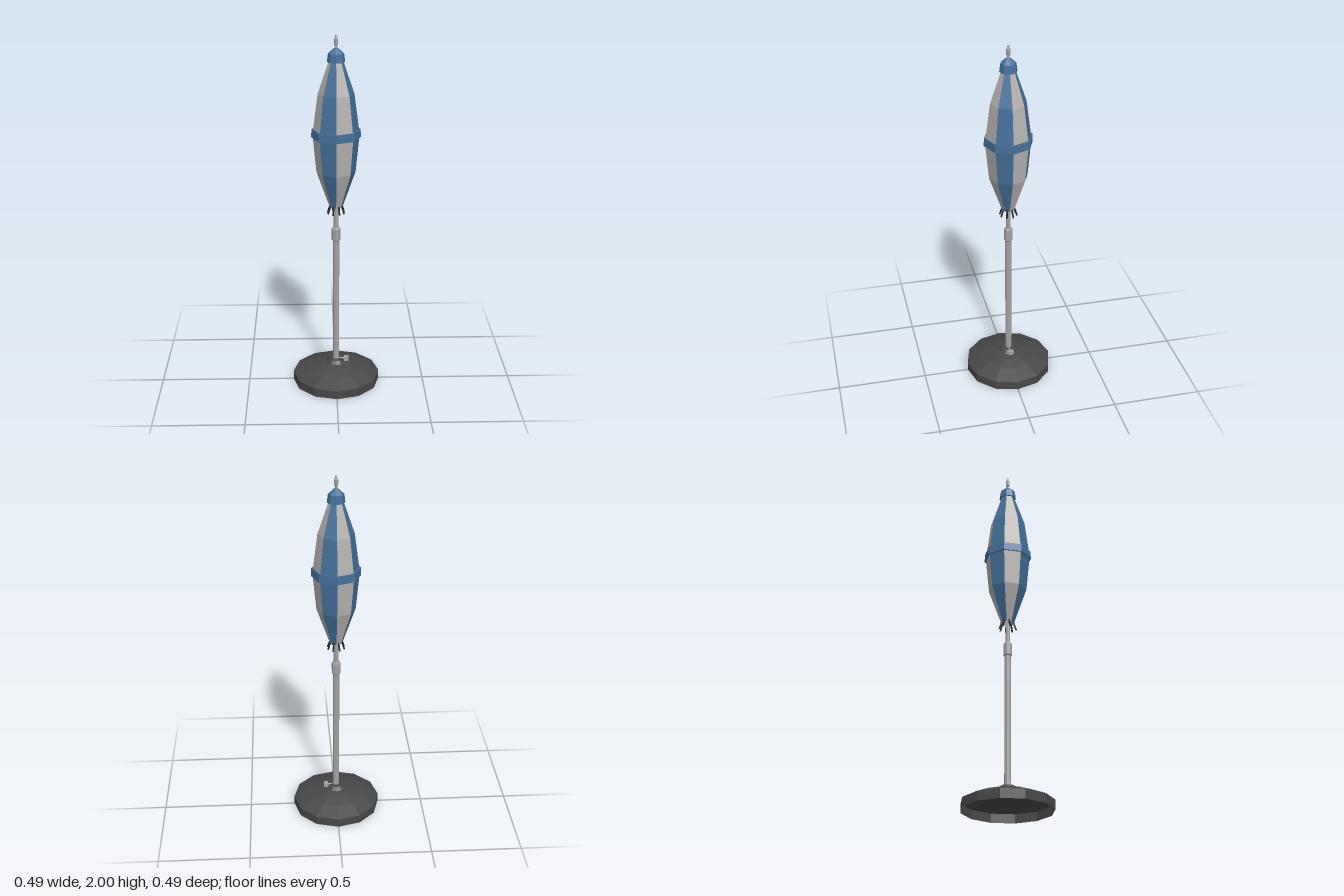
import * as THREE from 'three';

const mat = (name, color) => {
  const m = new THREE.MeshStandardMaterial({ color, flatShading: true, side: THREE.DoubleSide });
  m.name = name;
  return m;
};

export function createModel() {
  const blue = mat('blue fabric', 0x44709a);
  const pale = mat('pale fabric', 0xb5b2ae);
  const steel = mat('steel', 0xa3a3a3);
  const dark = mat('dark base', 0x484848);
  const black = mat('black tips', 0x262626);

  const model = new THREE.Group();
  model.name = 'foldedParasol';

  const add = (name, geometry, material, parent = model) => {
    const mesh = new THREE.Mesh(geometry, material);
    mesh.name = name;
    parent.add(mesh);
    return mesh;
  };
  // Turned part from [radius, height] pairs, bottom to top
  const lathe = (pts, sides, start = 0, sweep = Math.PI * 2) =>
    new THREE.LatheGeometry(pts.map(([r, y]) => new THREE.Vector2(r, y)), sides, start, sweep);

  // Hollow weighted base with pole socket
  add('base', lathe([[0.245, 0], [0.245, 0.05], [0.16, 0.085], [0.095, 0.105], [0.055, 0.112],
    [0.04, 0.13], [0.018, 0.133]], 12), dark);

  // Telescopic pole
  add('lowerPole', lathe([[0, 0.1], [0.018, 0.1], [0.018, 0.9]], 8), steel);
  add('poleCollar', lathe([[0.018, 0.86], [0.024, 0.866], [0.024, 0.93], [0.019, 0.94], [0.012, 0.94]], 8), steel);
  add('upperPole', lathe([[0.013, 0.92], [0.013, 1.92]], 8), steel);

  // Locking screw on the socket
  const screw = new THREE.Group();
  screw.name = 'lockingScrew';
  screw.position.set(0.035, 0.128, 0);
  model.add(screw);
  const stem = add('screwStem', new THREE.CylinderGeometry(0.006, 0.006, 0.04, 6), steel, screw);
  stem.rotation.z = Math.PI / 2;
  const wing = add('screwWing', new THREE.BoxGeometry(0.025, 0.02, 0.03), steel, screw);
  wing.position.x = 0.024;

  // Folded canopy: eight alternating panels
  const canopy = new THREE.Group();
  canopy.name = 'canopy';
  model.add(canopy);
  const profile = [[0.036, 1.06], [0.106, 1.26], [0.125, 1.46], [0.122, 1.5], [0.097, 1.69], [0.036, 1.87]];
  const step = Math.PI / 4;
  for (let i = 0; i < 8; i++) {
    add('panel' + (i + 1), lathe(profile, 1, i * step, step), i % 2 ? blue : pale, canopy);
    // Rib end poking out under the panel
    const a = (i + 0.5) * step;
    const curve = new THREE.LineCurve3(
      new THREE.Vector3(Math.sin(a) * 0.032, 1.07, Math.cos(a) * 0.032),
      new THREE.Vector3(Math.sin(a) * 0.048, 1.022, Math.cos(a) * 0.048));
    add('ribTip' + (i + 1), new THREE.TubeGeometry(curve, 1, 0.005, 5), black, canopy);
  }

  // Strap around the widest part
  add('strap', lathe([[0.122, 1.453], [0.133, 1.453], [0.131, 1.498], [0.12, 1.498]], 8), blue);

  // Top cap and finial
  add('topCap', lathe([[0.034, 1.86], [0.048, 1.86], [0.042, 1.905], [0.036, 1.91], [0.012, 1.932], [0, 1.932]], 8), blue);
  add('finial', lathe([[0.006, 1.925], [0.006, 1.945], [0.011, 1.95], [0.011, 1.98], [0.006, 1.99],
    [0.005, 2], [0, 2]], 8), steel);

  return model;
}
